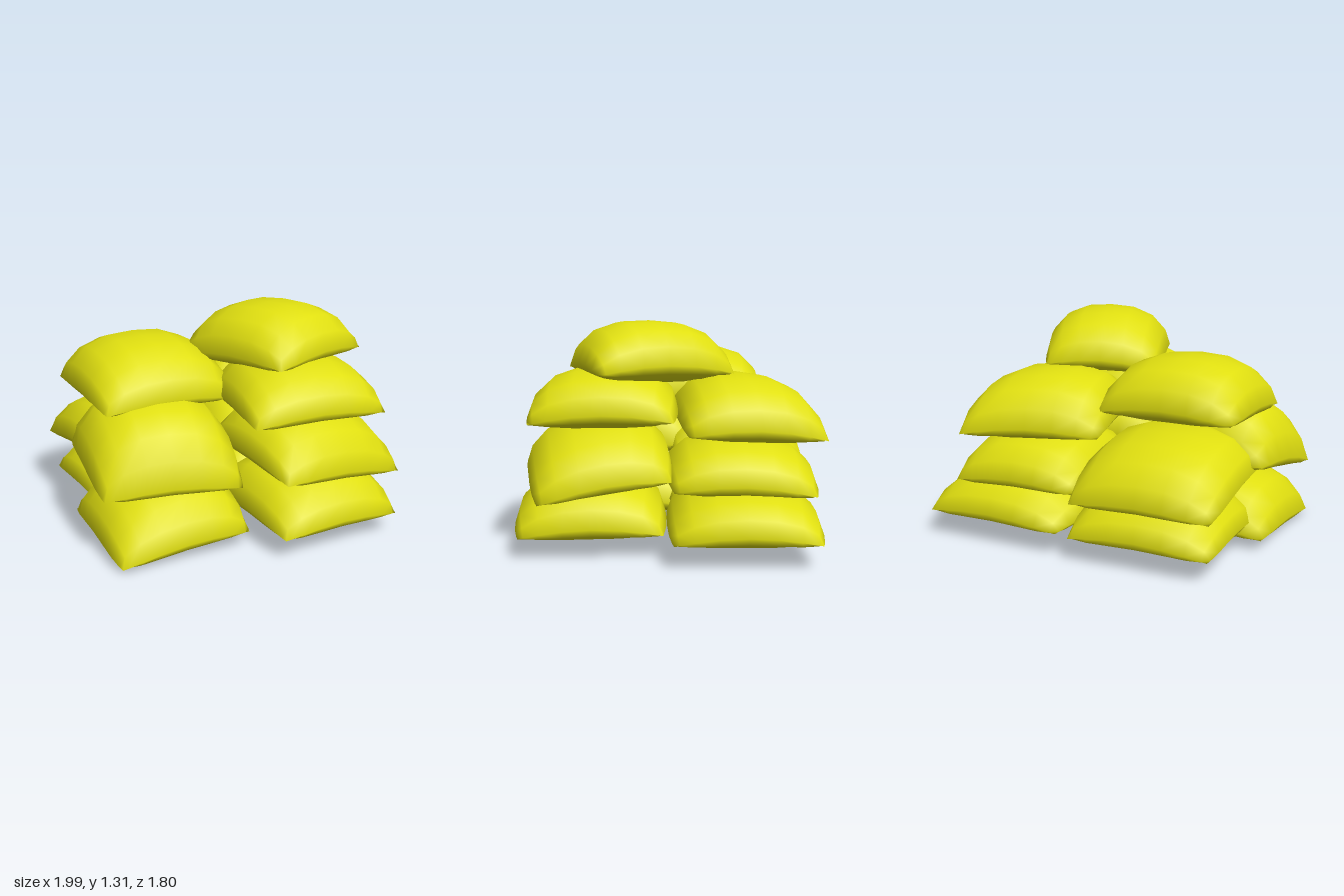
import * as THREE from 'three';
import { mergeGeometries, mergeVertices } from 'three/addons/utils/BufferGeometryUtils.js';

// One pillow half: a square grid stretched over four rim corners and inflated.
// Corner order: back -x, back +x, front +x, front -x.
function pillowHalf(xs, ys, zs, rise) {
  const geo = new THREE.PlaneGeometry(2, 2, 8, 8);
  geo.rotateX(rise > 0 ? -Math.PI / 2 : Math.PI / 2);
  geo.deleteAttribute('normal');
  geo.deleteAttribute('uv');
  const pos = geo.attributes.position;
  const ease = (t) => Math.sin(t * Math.PI / 2); // crowds rows towards the rim
  const swell = (t) => Math.max(0, 1 - Math.abs(t) ** 2.7) ** 0.52;
  for (let i = 0; i < pos.count; i++) {
    const u = ease(pos.getX(i)), v = ease(pos.getZ(i));
    // bowed sides and softened corners
    const a = u * (1.08 - 0.08 * v ** 4), b = v * (1.08 - 0.08 * u ** 4);
    const w = [(1 - a) * (1 - b), (1 + a) * (1 - b), (1 + a) * (1 + b), (1 - a) * (1 + b)];
    const blend = (c) => w.reduce((sum, k, n) => sum + k * c[n], 0) / 4;
    // the corners droop below the middle of each side
    const arch = 0.05 * (1 - u * u * v * v);
    pos.setXYZ(i, blend(xs), blend(ys) + arch + rise * swell(u) * swell(v), blend(zs));
  }
  return geo;
}

export function createModel() {
  const group = new THREE.Group();
  group.name = 'sackPile';
  const yellowCloth = new THREE.MeshStandardMaterial({ color: 0xe0df10 });

  // A sack has a tall domed top running smoothly into a flatter belly
  function sack(name, height, xs, ys, zs) {
    const geo = mergeVertices(mergeGeometries([pillowHalf(xs, ys, zs, height), pillowHalf(xs, ys, zs, -0.11)]));
    geo.computeVertexNormals();
    const mesh = new THREE.Mesh(geo, yellowCloth);
    mesh.name = name;
    group.add(mesh);
  }

  // Bottom layer
  sack('frontRightBottomSack', 0.28, [-0.92, -0.14, -0.17, -0.95], [0.06, 0.09, 0.09, 0.02], [-0.22, -0.2, 0.61, 0.58]);
  sack('backRightBottomSack', 0.22, [-0.83, 0.0, 0.02, -0.81], [0.12, 0.13, 0.13, 0.12], [-0.81, -0.84, -0.05, -0.02]);
  sack('frontLeftBottomSack', 0.25, [-0.11, 0.69, 0.69, -0.08], [0.14, 0.13, 0.12, 0.12], [0.06, 0.05, 0.86, 0.87]);
  sack('backLeftBottomSack', 0.22, [0.1, 0.97, 0.91, 0.03], [0.13, 0.14, 0.13, 0.13], [-0.81, -0.8, 0.0, -0.02]);

  // Second layer
  sack('frontRightMiddleSack', 0.35, [-0.91, -0.1, -0.23, -0.99], [0.5, 0.5, 0.39, 0.38], [-0.27, -0.15, 0.64, 0.45]);
  sack('backRightMiddleSack', 0.25, [-0.86, -0.02, 0.0, -0.85], [0.35, 0.34, 0.47, 0.47], [-0.87, -0.86, -0.05, -0.05]);
  sack('frontLeftMiddleSack', 0.27, [-0.12, 0.68, 0.79, -0.06], [0.5, 0.43, 0.33, 0.44], [0.06, 0.0, 0.74, 0.85]);
  sack('backLeftMiddleSack', 0.23, [0.0, 0.77, 0.78, 0.0], [0.37, 0.36, 0.39, 0.4], [-0.79, -0.8, -0.01, 0.0]);

  // Third layer
  sack('rightUpperSack', 0.27, [-0.86, -0.06, -0.06, -0.86], [0.81, 0.81, 0.78, 0.78], [-0.59, -0.58, 0.23, 0.2]);
  sack('frontLeftUpperSack', 0.24, [-0.09, 0.66, 0.62, -0.19], [0.77, 0.76, 0.75, 0.75], [-0.03, -0.01, 0.8, 0.72]);
  sack('backLeftUpperSack', 0.26, [-0.11, 0.69, 0.79, 0.0], [0.68, 0.66, 0.7, 0.75], [-0.69, -0.87, -0.09, -0.03]);

  // Crowning sack, turned askew
  sack('topSack', 0.25, [-0.22, 0.4, 0.72, 0.04], [0.98, 1.01, 1.03, 1.02], [-0.14, -0.37, 0.39, 0.59]);

  return group;
}
